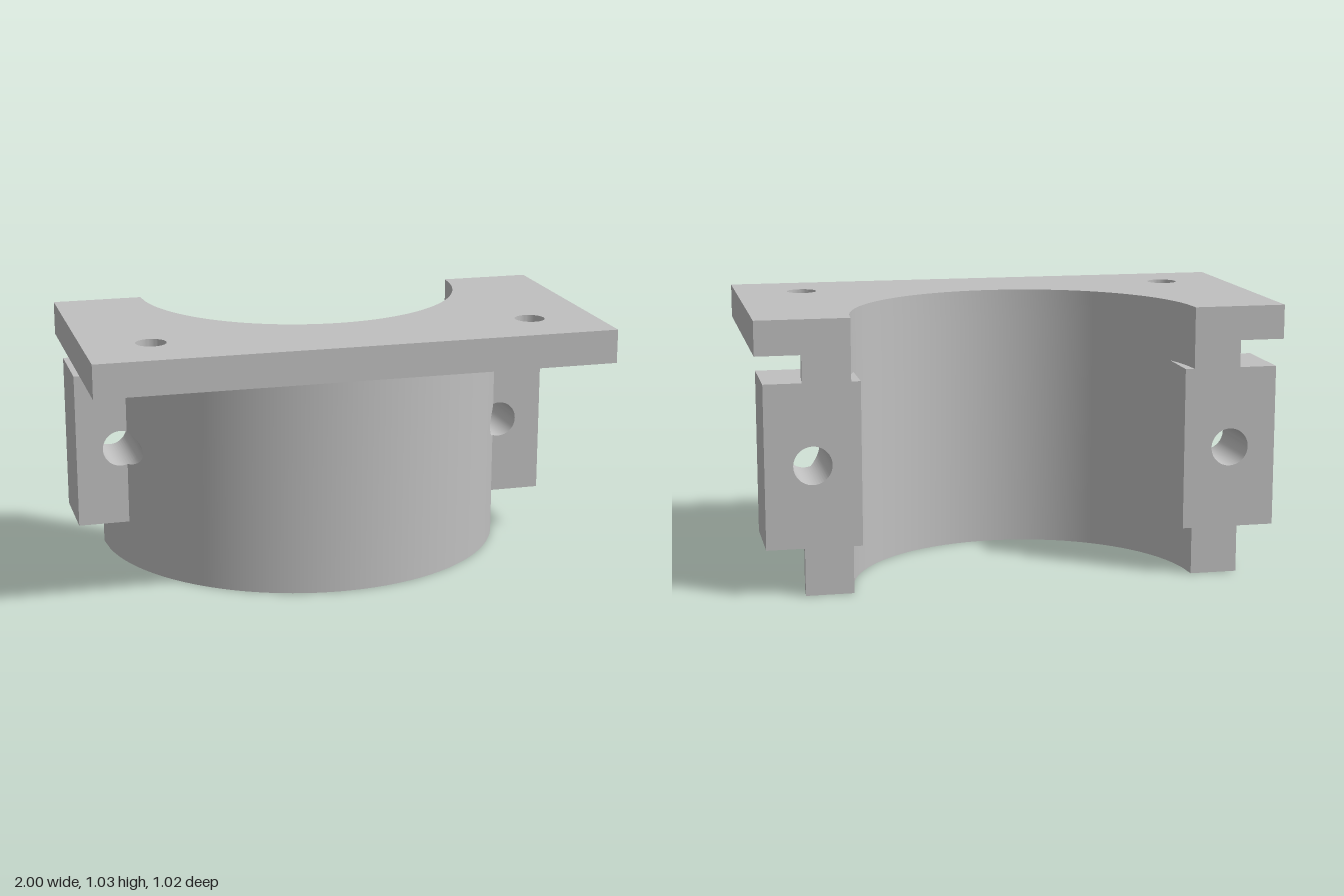
import * as THREE from 'three';
import { toCreasedNormals } from 'three/addons/utils/BufferGeometryUtils.js';

const BACK = -0.51, CZ = -0.52;            // split plane and bore axis
const R_OUT = 0.83, R_IN = 0.65;
const WALL_TOP = 0.9, PLATE_H = 0.13;
const HOLE = { x: 0.795, y: 0.49, r: 0.072 }; // bolt hole through each ear
const EAR = { x0: 0.615, x1: 0.972, y0: 0.18, y1: 0.797, depth: 0.3 };

// Columns across the wall: outer x and half height of the bolt hole there
function wallColumns() {
  const edge = Math.sqrt(R_OUT ** 2 - (BACK - CZ) ** 2);
  const start = HOLE.x - HOLE.r;
  const half = [];
  for (let i = 0; i < 28; i++) {
    half.push({ x: R_OUT * Math.sin(Math.asin(start / R_OUT) * i / 28), h: 0 });
  }
  const end = Math.acos((HOLE.x - edge) / HOLE.r);
  for (let i = 0; i <= 16; i++) {
    const a = end * i / 16;
    half.push({ x: HOLE.x - HOLE.r * Math.cos(a), h: HOLE.r * Math.sin(a) });
  }
  const left = half.slice(1).reverse().map(c => ({ x: -c.x, h: c.h }));
  const cols = [...left, ...half];
  const outMax = Math.asin(edge / R_OUT);
  const inMax = Math.acos((BACK - CZ) / R_IN);
  for (const c of cols) {
    c.z = CZ + Math.sqrt(Math.max(0, R_OUT ** 2 - c.x ** 2));
    const a = Math.asin(c.x / R_OUT) / outMax * inMax;
    c.ix = R_IN * Math.sin(a);
    c.iz = CZ + R_IN * Math.cos(a);
  }
  return cols;
}

// Half-round wall with the bolt holes cut through its sides
function wallGeometry(cols) {
  const pos = [];
  const quad = (a, b, c, d) => pos.push(...a, ...b, ...c, ...a, ...c, ...d);
  for (let i = 0; i < cols.length - 1; i++) {
    const p = cols[i], q = cols[i + 1];
    const lo = c => HOLE.y - c.h, hi = c => HOLE.y + c.h;
    // outer skin, below and above the hole
    quad([p.x, 0, p.z], [q.x, 0, q.z], [q.x, lo(q), q.z], [p.x, lo(p), p.z]);
    quad([p.x, hi(p), p.z], [q.x, hi(q), q.z], [q.x, WALL_TOP, q.z], [p.x, WALL_TOP, p.z]);
    // bore
    quad([q.ix, 0, q.iz], [p.ix, 0, p.iz], [p.ix, WALL_TOP, p.iz], [q.ix, WALL_TOP, q.iz]);
    // underside
    quad([p.ix, 0, p.iz], [q.ix, 0, q.iz], [q.x, 0, q.z], [p.x, 0, p.z]);
    // hole lining
    if (p.h > 0 || q.h > 0) {
      quad([p.x, hi(p), BACK], [q.x, hi(q), BACK], [q.x, hi(q), q.z], [p.x, hi(p), p.z]);
      quad([p.x, lo(p), p.z], [q.x, lo(q), q.z], [q.x, lo(q), BACK], [p.x, lo(p), BACK]);
    }
  }
  // flat split faces, above and below the ear
  const e = cols[cols.length - 1];
  for (const [x0, x1] of [[e.ix, e.x], [-e.x, -e.ix]]) {
    for (const [y0, y1] of [[0, 0.25], [0.75, WALL_TOP]]) {
      quad([x1, y0, BACK], [x0, y0, BACK], [x0, y1, BACK], [x1, y1, BACK]);
    }
  }
  const g = new THREE.BufferGeometry();
  g.setAttribute('position', new THREE.Float32BufferAttribute(pos, 3));
  return toCreasedNormals(g, 0.5);
}

function circleHole(x, y, r) {
  const path = new THREE.Path();
  path.absarc(x, y, r, 0, Math.PI * 2, true);
  return path;
}

function extrude(shape, depth) {
  return toCreasedNormals(
    new THREE.ExtrudeGeometry(shape, { depth, bevelEnabled: false, curveSegments: 24 }), 0.5);
}

// Top flange with the bore cut from its back edge and two screw holes
function flangeGeometry(cols) {
  const outline = [[-1, BACK], [1, BACK], [1, -BACK]].map(p => new THREE.Vector2(...p));
  for (const c of [...cols].reverse()) outline.push(new THREE.Vector2(c.ix, -c.iz));
  outline.push(new THREE.Vector2(-1, -BACK));
  const shape = new THREE.Shape(outline);
  for (const s of [-1, 1]) shape.holes.push(circleHole(s * 0.742, -0.25, 0.058));
  return extrude(shape, PLATE_H).rotateX(-Math.PI / 2).translate(0, WALL_TOP, 0);
}

// Clamping ear with its bolt hole
function earGeometry(side) {
  const xs = [side * EAR.x0, side * EAR.x1].sort((a, b) => a - b);
  const shape = new THREE.Shape([
    new THREE.Vector2(xs[0], EAR.y0), new THREE.Vector2(xs[1], EAR.y0),
    new THREE.Vector2(xs[1], EAR.y1), new THREE.Vector2(xs[0], EAR.y1),
  ]);
  shape.holes.push(circleHole(side * HOLE.x, HOLE.y, HOLE.r));
  return extrude(shape, EAR.depth).translate(0, 0, BACK);
}

export function createModel() {
  const grey = new THREE.MeshStandardMaterial({ color: 0xc0c0c0 });
  grey.name = 'light grey';
  const model = new THREE.Group();
  model.name = 'halfClampBracket';
  const add = (name, geometry) => {
    const mesh = new THREE.Mesh(geometry, grey);
    mesh.name = name;
    model.add(mesh);
  };
  const cols = wallColumns();
  add('halfRoundWall', wallGeometry(cols));
  add('topFlange', flangeGeometry(cols));
  add('leftEar', earGeometry(1));
  add('rightEar', earGeometry(-1));
  return model;
}
